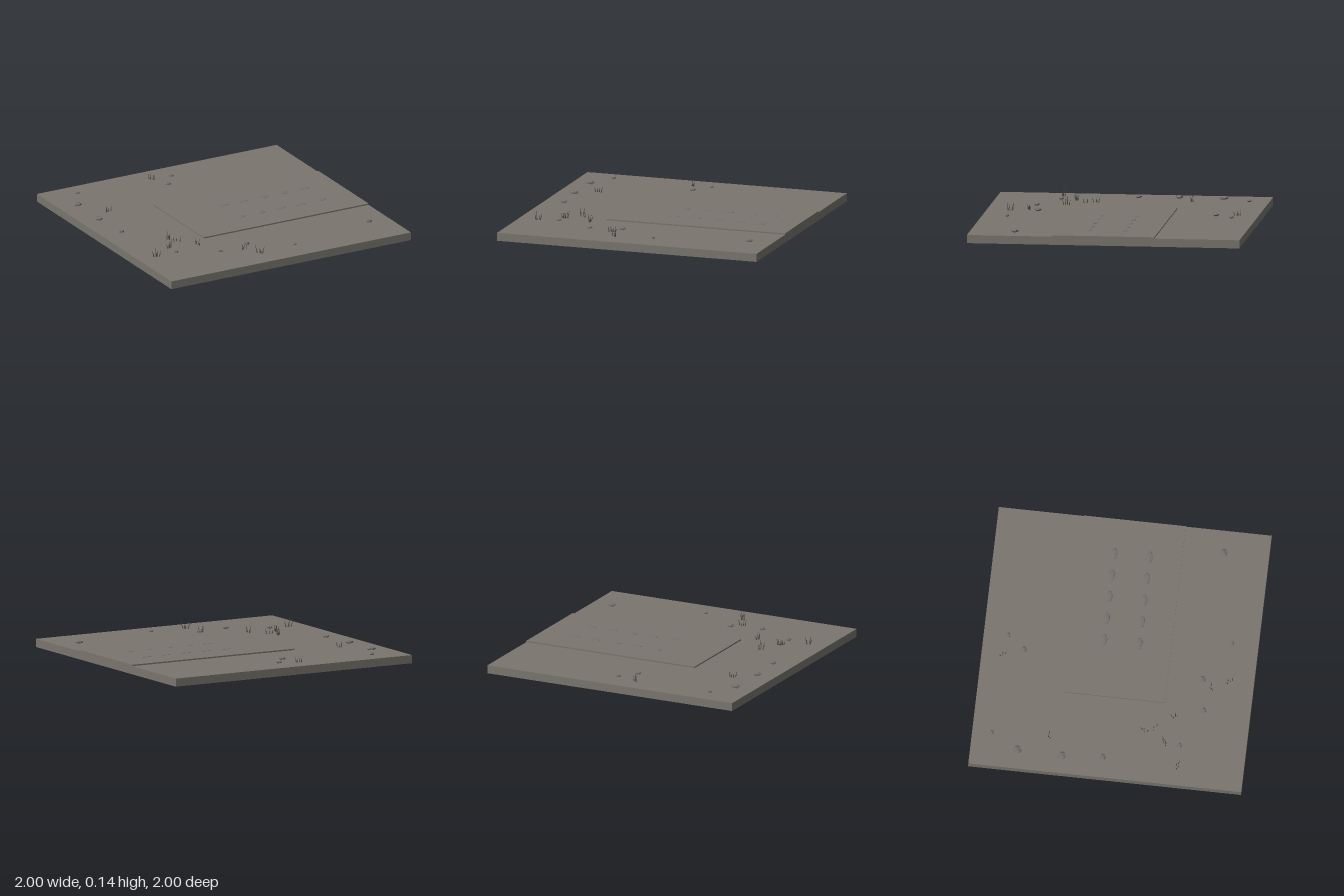
import * as THREE from 'three';

const material = (name, color) => {
  const m = new THREE.MeshStandardMaterial({ color });
  m.name = name;
  return m;
};

export function createModel() {
  const model = new THREE.Group();
  const ground = material('warm grey ground', 0x7a766e);
  const stone = material('stone grey', 0x716f6a);
  stone.flatShading = true;
  const dust = material('dusty mauve grey', 0x777170);
  const grass = material('dark dry grass', 0x53524a);
  grass.flatShading = true;

  const add = (name, geometry, mat, x, y, z, parent = model) => {
    const mesh = new THREE.Mesh(geometry, mat);
    mesh.name = name;
    mesh.position.set(x, y, z);
    parent.add(mesh);
    return mesh;
  };

  // Square base and the raised pad running to its left edge
  add('baseSlab', new THREE.BoxGeometry(2, 0.06, 2), ground, 0, 0.03, 0);
  add('raisedPad', new THREE.BoxGeometry(1.375, 0.02, 0.745), ground, 0.3125, 0.06, -0.0025);

  // Two rows of shallow mounds on the pad
  const mound = new THREE.SphereGeometry(1, 12, 8);
  for (const z of [-0.122, 0.135]) {
    for (let i = 0; i < 5; i++) {
      add('mound', mound, dust, 0.06 + i * 0.168, 0.07, z).scale.set(0.044, 0.004, 0.022);
    }
  }

  // Flattened pebbles: x, z, radius
  const pebble = new THREE.DodecahedronGeometry(1, 0);
  [
    [-0.745, -0.855, 0.018], [-0.857, -0.657, 0.034], [-0.865, -0.328, 0.031],
    [-0.843, -0.032, 0.025], [-0.692, 0.515, 0.02], [-0.404, 0.66, 0.022],
    [-0.165, 0.622, 0.027], [0.137, 0.81, 0.014], [0.829, 0.67, 0.028],
    [0.02, -0.82, 0.018], [-0.08, -0.695, 0.024],
  ].forEach(([x, z, r]) => {
    add('pebble', pebble, stone, x, 0.071, z).scale.set(r, r * 0.2 + 0.0065, r);
  });

  // Grass tufts: x, z, direction of the row, height, number of blades
  const blade = new THREE.ConeGeometry(0.0045, 1, 4);
  blade.translate(0, 0.5, 0);
  [
    [-0.13, -0.845, 0.9, 0.06, 4], [-0.72, -0.442, -0.2, 0.055, 4],
    [-0.605, 0.247, -1.1, 0.055, 4], [-0.573, 0.318, 0.3, 0.05, 3],
    [-0.682, 0.405, -0.6, 0.065, 6], [-0.475, 0.452, 1.4, 0.072, 4],
    [-0.852, 0.515, 0.1, 0.08, 4], [-0.222, 0.692, -0.3, 0.052, 4],
    [-0.157, 0.82, 1, 0.072, 4],
  ].forEach(([x, z, angle, height, count], k) => {
    const tuft = new THREE.Group();
    tuft.name = 'grassTuft';
    tuft.position.set(x, 0.058, z);
    tuft.rotation.y = -angle;
    for (let i = 0; i < count; i++) {
      const t = i / (count - 1) - 0.5;
      const mesh = add('grassBlade', blade, grass, t * 0.04, 0, 0.008 * Math.sin(i * 2.4 + k), tuft);
      mesh.scale.y = height * (0.8 + 0.2 * Math.sin(i * 2.1 + k));
      mesh.rotation.set(0.15 * Math.sin(i * 3 + k), 0, -t * 0.4);
    }
    model.add(tuft);
  });

  return model;
}
